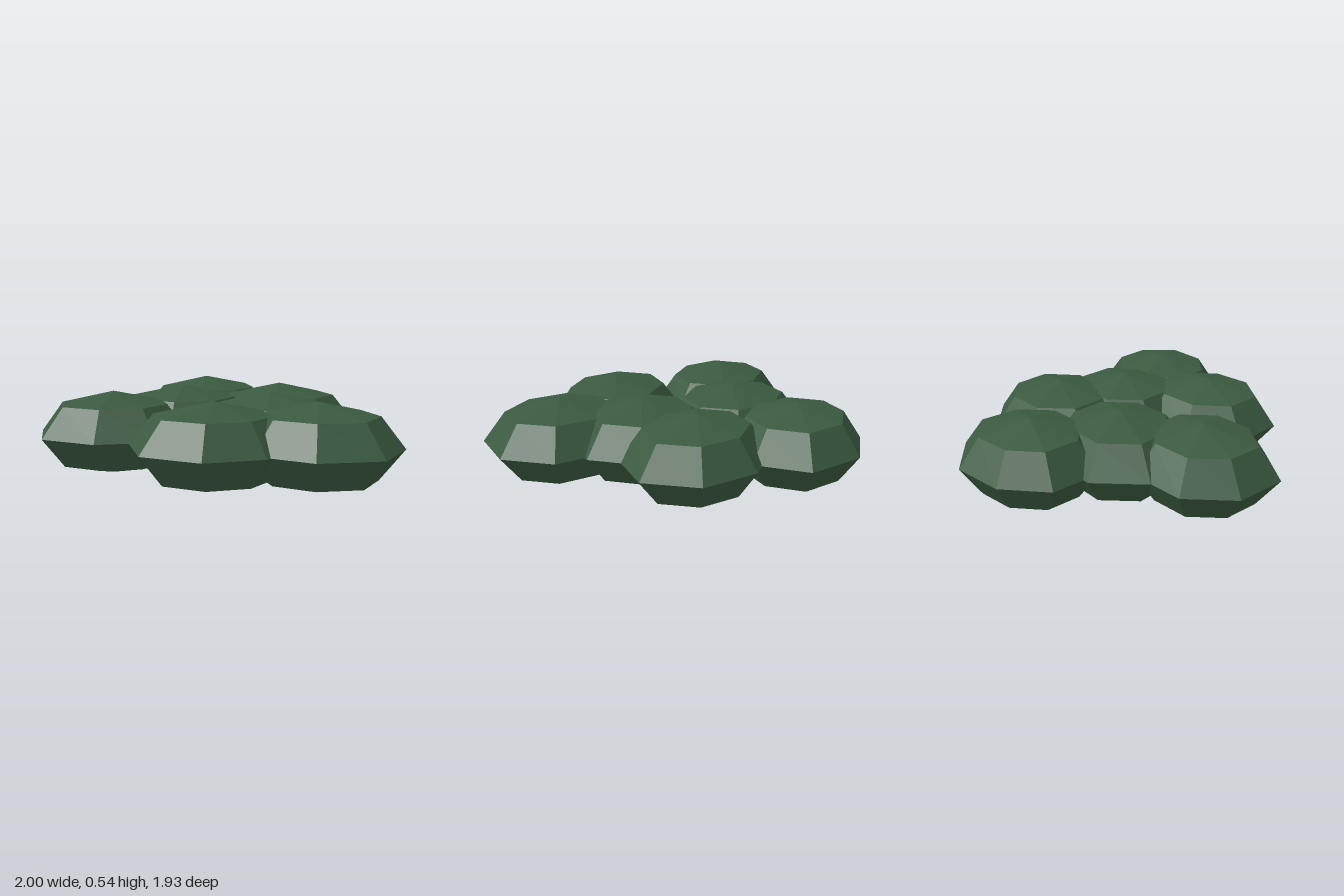
import * as THREE from 'three';

const foliage = new THREE.MeshStandardMaterial({ color: 0x3a5a40 });
foliage.name = 'leaf green';
const bark = new THREE.MeshStandardMaterial({ color: 0x6f4634 });
bark.name = 'bark brown';

// Faceted normals
function flat(geometry) {
  const g = geometry.toNonIndexed();
  g.computeVertexNormals();
  return g;
}

// Flattened eight-sided clump; radii holds a factor per direction: E, SE, S, SW, W, NW, N, NE (S = +z)
function clumpGeometry(radii) {
  const g = new THREE.SphereGeometry(1, 8, 4);
  const p = g.attributes.position;
  for (let i = 0; i < p.count; i++) {
    const x = p.getX(i), z = p.getZ(i);
    const k = (Math.round(Math.atan2(z, x) / (Math.PI / 4)) + 8) % 8;
    p.setXYZ(i, x * 0.43 * radii[k], p.getY(i) * 0.232, z * 0.39 * radii[k]);
  }
  return flat(g);
}

// Clump centres (x, z) and their outlines
const clumps = [
  [-0.19, -0.58, [1, 1, 1, 1, 0.96, 0.92, 1, 1.07]],
  [0.31, -0.27, [1.06, 1.02, 1, 1, 1, 1, 1, 1.02]],
  [-0.25, -0.1, [1, 1, 1, 1, 1.04, 1.05, 1, 0.98]],
  [-0.58, 0.24, [1, 1, 0.98, 1.04, 0.98, 0.98, 0.98, 1]],
  [0.29, 0.14, [1, 1, 1, 0.98, 0.98, 1, 1, 1]],
  [0.04, 0.57, [1, 0.96, 1, 1.06, 1.04, 1, 1, 1]],
  [0.56, 0.5, [1.02, 1.06, 1, 1, 1, 1, 1, 1]],
];

export function createModel() {
  const bush = new THREE.Group();
  bush.name = 'bush';
  const root = new THREE.Vector3(0, 0.014, 0.13);
  const up = new THREE.Vector3(0, 1, 0);

  clumps.forEach(([x, z, radii], i) => {
    const clump = new THREE.Mesh(clumpGeometry(radii), foliage);
    clump.name = `leafClump${i + 1}`;
    clump.position.set(x, 0.308, z);
    bush.add(clump);

    // Branch from the root into the clump
    const run = new THREE.Vector3(x, 0.3, z).sub(root);
    const length = run.length();
    const branch = new THREE.Mesh(flat(new THREE.CylinderGeometry(0.045, 0.016, length, 5)), bark);
    branch.name = `branch${i + 1}`;
    branch.position.copy(root).addScaledVector(run, 0.5);
    branch.quaternion.setFromUnitVectors(up, run.normalize());
    bush.add(branch);
  });
  return bush;
}
